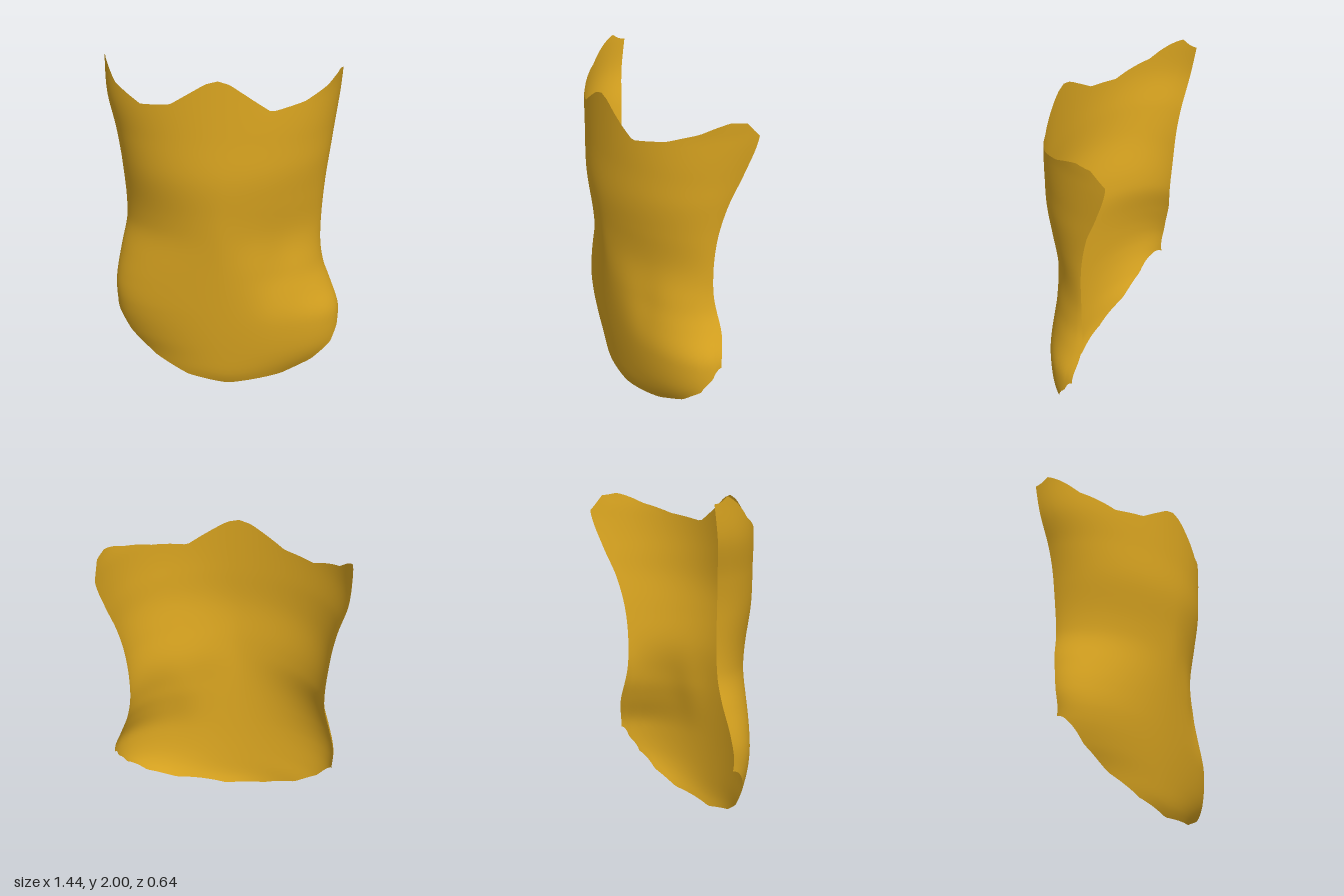
import * as THREE from 'three';

// Piecewise interpolation through [key, value] pairs; smooth uses Hermite tangents
function sample(pairs, k, smooth = false) {
  const n = pairs.length;
  if (k <= pairs[0][0]) return pairs[0][1];
  if (k >= pairs[n - 1][0]) return pairs[n - 1][1];
  let i = 0;
  while (k > pairs[i + 1][0]) i++;
  const [k0, v0] = pairs[i], [k1, v1] = pairs[i + 1];
  const w = k1 - k0, t = (k - k0) / w;
  if (!smooth) return v0 + (v1 - v0) * t;
  const slope = (a, b) => (pairs[b][1] - pairs[a][1]) / (pairs[b][0] - pairs[a][0]);
  const m0 = slope(Math.max(i - 1, 0), i + 1) * w;
  const m1 = slope(i, Math.min(i + 2, n - 1)) * w;
  const t2 = t * t, t3 = t2 * t;
  return (2 * t3 - 3 * t2 + 1) * v0 + (t3 - 2 * t2 + t) * m0
    + (3 * t2 - 2 * t3) * v1 + (t3 - t2) * m1;
}

// Rim heights against the sideways fraction (-1 right edge, 1 left edge)
const topRim = [[-1, 1.96], [-0.985, 2], [-0.87, 1.87], [-0.64, 1.78], [-0.39, 1.8], [-0.1, 1.93],
  [0, 1.95], [0.1, 1.93], [0.44, 1.77], [0.71, 1.81], [0.88, 1.87], [0.975, 1.935], [0.998, 1.92], [1, 1.83]];
const bottomRim = [[-1, 0.44], [-0.97, 0.4], [-0.85, 0.28], [-0.62, 0.15], [-0.3, 0.05],
  [0.07, 0], [0.52, 0.05], [0.78, 0.13], [0.94, 0.23], [0.99, 0.32], [1, 0.4]];

// Each side: half width, depth of the side edge and roundness of the section, against height
const rightSide = {
  half: [[0.45, 0.66], [0.6, 0.666], [0.8, 0.636], [1, 0.6], [1.33, 0.62], [1.55, 0.655], [1.77, 0.71], [2, 0.725]],
  edge: [[0, -0.35], [0.15, -0.26], [0.28, -0.13], [0.45, -0.05], [0.65, -0.07], [0.85, -0.11], [1.1, -0.13], [1.5, -0.15], [2, -0.22]],
  round: [[0.5, 1], [0.75, 1.05], [1, 1.14], [1.4, 1], [2, 1]],
};
const leftSide = {
  half: [[0.35, 0.717], [0.45, 0.71], [0.6, 0.655], [0.73, 0.61], [0.9, 0.59], [1.2, 0.605], [1.5, 0.645], [1.77, 0.685], [1.92, 0.7]],
  edge: [[0, -0.48], [0.05, -0.38], [0.13, -0.21], [0.23, -0.12], [0.42, -0.11], [0.6, -0.14], [0.85, -0.115], [1.15, -0.12],
    [1.4, -0.17], [1.6, -0.25], [1.82, -0.32], [1.95, -0.3]],
  round: [[0.1, 1], [0.5, 0.97], [0.75, 1.08], [0.98, 1.25], [1.2, 1.15], [1.45, 1], [1.7, 0.91], [2, 0.91]],
};
const centreZ = [[0, 0.18], [0.05, 0.2], [0.13, 0.215], [0.4, 0.245], [0.85, 0.28], [1.1, 0.3], [1.35, 0.32], [1.6, 0.31], [1.95, 0.295]];

const bump = (d, w) => Math.exp(-(d * d) / (w * w));

// Point on the curved plate: u across, t upward
function platePoint(u, t) {
  const f = Math.sin(u * Math.PI / 2);
  const low = sample(bottomRim, f), high = sample(topRim, f);
  const y = low + (high - low) * t;
  const side = u > 0 ? leftSide : rightSide;
  const x = f * sample(side.half, y, true);
  // superelliptic section from the centre line back to the side edge
  const round = sample(side.round, y, true);
  const bow = 1 - Math.max(0, 1 - Math.abs(f) ** (2 / round)) ** (round / 2);
  const front = sample(centreZ, y, true);
  let z = front - (front - sample(side.edge, y, true)) * bow;
  // shallow dent above the left hip
  z -= 0.014 * bump(x - 0.33, 0.1) * bump(y - 0.75, 0.2);
  return [x, y, z];
}

function plateGeometry(columns, rows) {
  const positions = [], indices = [];
  for (let j = 0; j <= rows; j++) {
    for (let i = 0; i <= columns; i++) positions.push(...platePoint((2 * i) / columns - 1, j / rows));
  }
  for (let j = 0; j < rows; j++) {
    for (let i = 0; i < columns; i++) {
      const a = j * (columns + 1) + i, b = a + 1, c = a + columns + 1, d = c + 1;
      indices.push(a, b, d, a, d, c);
    }
  }
  const geometry = new THREE.BufferGeometry();
  geometry.setAttribute('position', new THREE.Float32BufferAttribute(positions, 3));
  geometry.setIndex(indices);
  geometry.computeVertexNormals();
  return geometry;
}

export function createModel() {
  const group = new THREE.Group();
  group.name = 'curvedTorsoPlate';
  const gold = new THREE.MeshStandardMaterial({ color: 0xdaa520, side: THREE.DoubleSide });
  gold.name = 'gold';
  const plate = new THREE.Mesh(plateGeometry(72, 56), gold);
  plate.name = 'torsoPlate';
  group.add(plate);
  return group;
}
